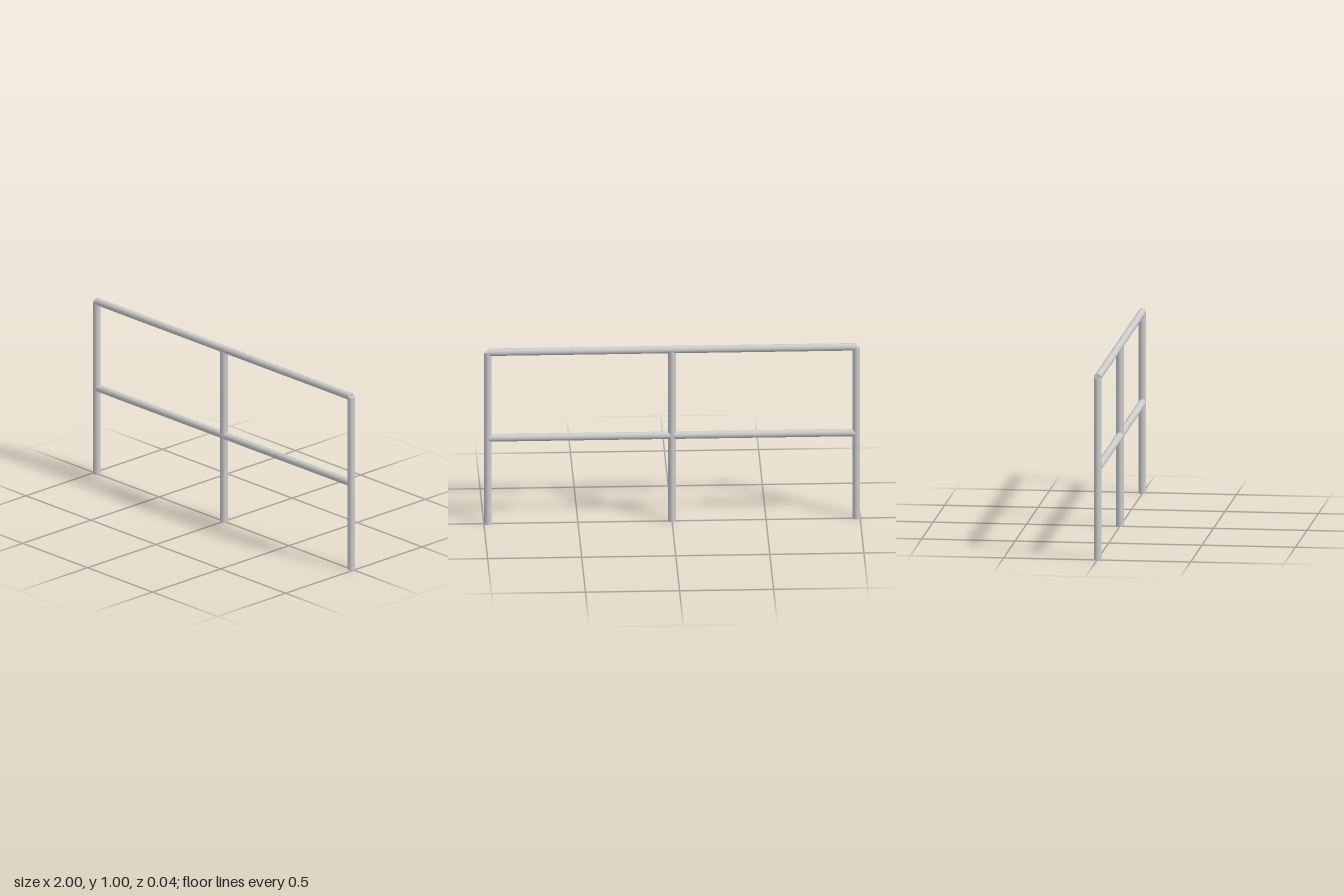
import * as THREE from 'three';

const RADIUS = 0.02;
const HALF_SPAN = 0.98;
const HEIGHT = 0.98;

export function createModel() {
  const group = new THREE.Group();
  group.name = 'guardRail';
  const material = new THREE.MeshStandardMaterial({ color: 0xcccccc });

  // Capped round bar centred on its own length
  const addBar = (name, length, x, y, horizontal) => {
    const bar = new THREE.Mesh(new THREE.CylinderGeometry(RADIUS, RADIUS, length, 32), material);
    bar.name = name;
    bar.position.set(x, y, 0);
    if (horizontal) bar.rotation.z = Math.PI / 2;
    group.add(bar);
  };

  // Upright posts, ending at the centreline of the top rail
  const posts = { rightPost: -HALF_SPAN, middlePost: 0, leftPost: HALF_SPAN };
  for (const [name, x] of Object.entries(posts)) addBar(name, HEIGHT, x, HEIGHT / 2, false);

  // Horizontal rails, running between the end post centrelines
  const rails = { topRail: HEIGHT, middleRail: HEIGHT / 2 };
  for (const [name, y] of Object.entries(rails)) addBar(name, HALF_SPAN * 2, 0, y, true);

  return group;
}
